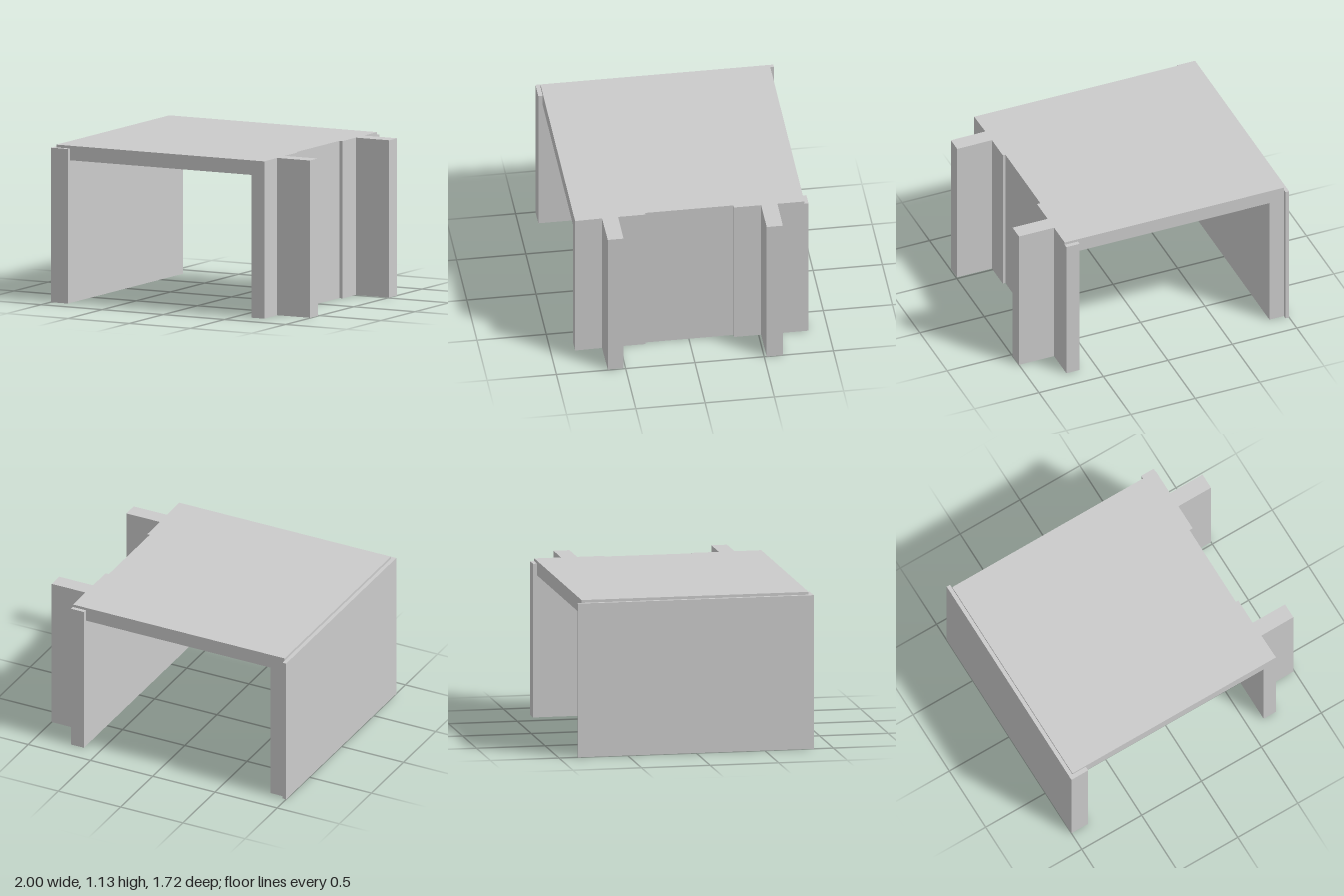
import * as THREE from 'three';

const material = new THREE.MeshStandardMaterial({ color: 0xcccccc, flatShading: true });

// Raise a floor-plan outline of [x, z] corners from y0 to y1
function prism(name, plan, y0, y1) {
  const shape = new THREE.Shape(plan.map(([x, z]) => new THREE.Vector2(x, -z)));
  const geometry = new THREE.ExtrudeGeometry(shape, { depth: y1 - y0, bevelEnabled: false });
  geometry.rotateX(-Math.PI / 2).translate(0, y0, 0);
  const mesh = new THREE.Mesh(geometry, material);
  mesh.name = name;
  return mesh;
}

const rect = (x0, x1, z0, z1) => [[x0, z0], [x1, z0], [x1, z1], [x0, z1]];

export function createModel() {
  const group = new THREE.Group();
  group.name = 'tableBlock';
  const top = 1.135, under = 1.03, facingTop = 1.115;
  const back = -0.83, front = 0.825;

  // Side wall with a shallow recess in the middle and two projecting fins
  const finnedPlan = [
    [0.625, back], [0.728, back],
    [0.728, -0.635], [1.0, -0.635], [1.0, -0.518], [0.728, -0.518],
    [0.728, -0.322], [0.702, -0.322], [0.702, 0.316], [0.722, 0.316],
    [0.722, 0.514], [0.992, 0.514], [0.992, 0.628], [0.724, 0.63],
    [0.728, front], [0.625, front],
  ];
  group.add(prism('finnedWall', finnedPlan, 0, top));

  // Roof slab and the plain wall below its other end
  group.add(prism('roofSlab', rect(-0.972, 0.625, back, front), under, top));
  group.add(prism('plainWall', rect(-0.972, -0.86, back, front), 0, under));

  // Thin outer facing that wraps round the front end of the plain wall
  const facingPlan = [
    [-1, -0.86], [-0.972, -0.86], [-0.972, front],
    [-0.86, front], [-0.86, 0.857], [-1, 0.857],
  ];
  group.add(prism('plainWallFacing', facingPlan, 0, facingTop));

  // Thin facing on the back end of the finned wall
  group.add(prism('finnedWallFacing', rect(0.625, 0.728, -0.86, back), 0, facingTop));

  return group;
}
